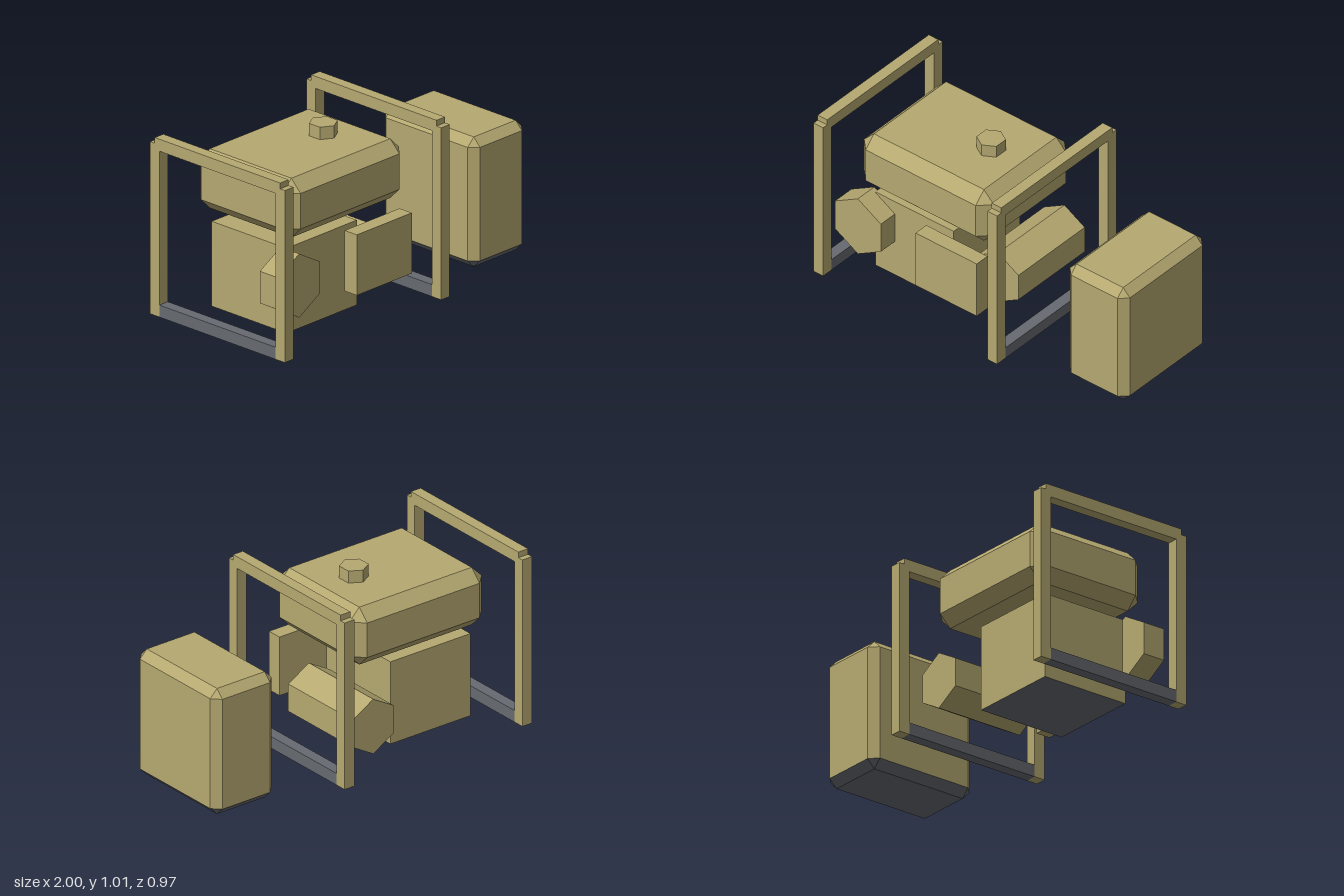
import * as THREE from 'three';
import { ConvexGeometry } from 'three/addons/geometries/ConvexGeometry.js';

const paint = new THREE.MeshStandardMaterial({ color: 0xb5a870 });
const steel = new THREE.MeshStandardMaterial({ color: 0x666a70 });
paint.flatShading = steel.flatShading = true;

// Box given by its lower and upper corner
function box(name, [x0, y0, z0], [x1, y1, z1], material = paint) {
  const mesh = new THREE.Mesh(new THREE.BoxGeometry(x1 - x0, y1 - y0, z1 - z0), material);
  mesh.position.set((x0 + x1) / 2, (y0 + y1) / 2, (z0 + z1) / 2);
  mesh.name = name;
  return mesh;
}

// Box with all twelve edges cut at 45 degrees, centred on the origin
function chamferBox(w, h, d, c) {
  const points = [];
  for (const sx of [-1, 1]) for (const sy of [-1, 1]) for (const sz of [-1, 1]) {
    const corner = [sx * w / 2, sy * h / 2, sz * d / 2];
    const inner = [sx * (w / 2 - c), sy * (h / 2 - c), sz * (d / 2 - c)];
    for (let axis = 0; axis < 3; axis++) {
      const p = [...inner];
      p[axis] = corner[axis];
      points.push(new THREE.Vector3(...p));
    }
  }
  return new ConvexGeometry(points);
}

// Gives downward faces the second material
function splitUnderside(geometry) {
  const normals = geometry.attributes.normal;
  for (let i = 0; i < normals.count; i += 3) {
    geometry.addGroup(i, 3, normals.getY(i) < -0.5 ? 1 : 0);
  }
  return geometry;
}

// Six-sided drum lying along z, with a corner pointing up
function hexDrum(name, x, y, z0, z1, radius) {
  const geometry = new THREE.CylinderGeometry(radius, radius, z1 - z0, 6);
  geometry.rotateX(Math.PI / 2);
  const mesh = new THREE.Mesh(geometry, paint);
  mesh.position.set(x, y, (z0 + z1) / 2);
  mesh.name = name;
  return mesh;
}

export function createModel() {
  const model = new THREE.Group();
  model.name = 'generator';

  // Two end frames: posts, top rail and bottom rail
  for (const [side, x0, x1] of [['right', -1, -0.935], ['left', 0.188, 0.253]]) {
    const frame = new THREE.Group();
    frame.name = side + 'Frame';
    frame.add(
      box('frontPost', [x0, 0, 0.42], [x1, 0.975, 0.487]),
      box('backPost', [x0, 0, -0.487], [x1, 0.975, -0.42]),
      box('topRail', [x0, 0.94, -0.453], [x1, 1.008, 0.453]),
      box('bottomRail', [x0, 0, -0.42], [x1, 0.068, 0.42], steel),
    );
    model.add(frame);
  }

  // Engine block with a dark underside
  model.add(box('engineBlock', [-0.76, 0.033, -0.27], [-0.225, 0.514, 0.27],
    [paint, paint, paint, steel, paint, paint]));

  // Control panel on the front
  model.add(box('controlPanel', [-0.37, 0.17, 0.32], [0.048, 0.513, 0.408]));

  // Air filter in front, muffler behind
  model.add(hexDrum('airFilter', -0.783, 0.342, 0.25, 0.385, 0.181));
  model.add(hexDrum('muffler', -0.018, 0.246, -0.387, 0.155, 0.16));

  // Fuel tank with filler cap
  const tank = new THREE.Mesh(chamferBox(0.885, 0.336, 0.724, 0.067), paint);
  tank.position.set(-0.373, 0.747, 0);
  tank.name = 'fuelTank';
  const cap = new THREE.Mesh(new THREE.CylinderGeometry(0.078, 0.078, 0.085, 6), paint);
  cap.position.set(-0.195, 0.943, 0);
  cap.name = 'fuelCap';
  model.add(tank, cap);

  // Separate container standing to the side
  const container = new THREE.Mesh(
    splitUnderside(chamferBox(0.41, 0.735, 0.684, 0.046)), [paint, steel]);
  container.position.set(0.795, 0.3675, 0);
  container.name = 'container';
  model.add(container);

  return model;
}
